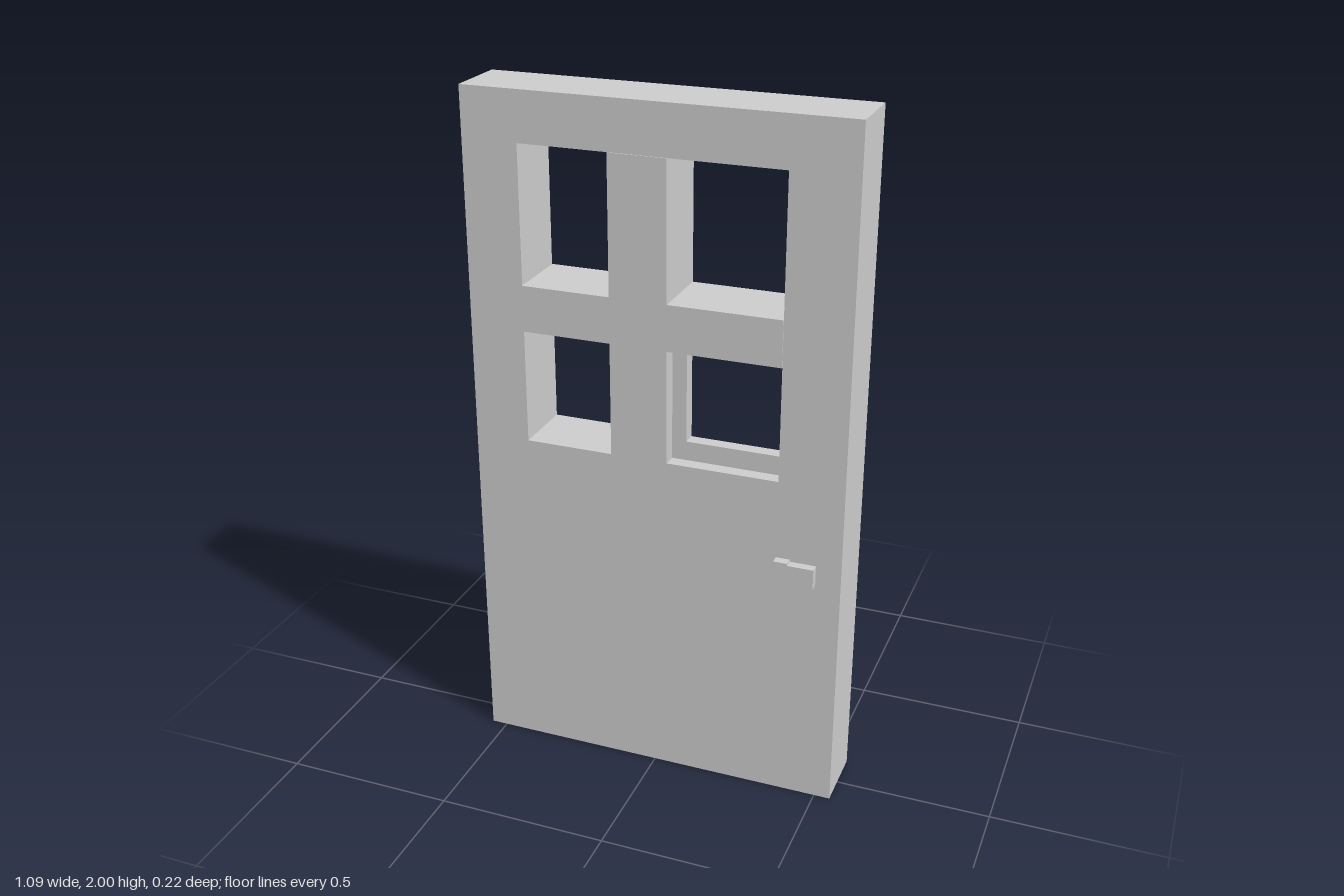
import * as THREE from 'three';

const material = new THREE.MeshStandardMaterial({ color: 0xcccccc, flatShading: true });

// Closed rectangle as points, grown outward by g
const rect = ([x0, x1, y0, y1], g = 0) => [
  [x0 - g, y0 - g], [x1 + g, y0 - g], [x1 + g, y1 + g], [x0 - g, y1 + g],
].map(([x, y]) => new THREE.Vector2(x, y));

// Flat slab with holes, running from z0 to z1
function slab(name, points, holes, z0, z1) {
  const shape = new THREE.Shape(points);
  shape.holes = holes.map((h) => new THREE.Path(h));
  const geometry = new THREE.ExtrudeGeometry(shape, { depth: z1 - z0, bevelEnabled: false });
  geometry.translate(0, 0, z0);
  const mesh = new THREE.Mesh(geometry, material);
  mesh.name = name;
  return mesh;
}

export function createModel() {
  const door = new THREE.Group();
  door.name = 'door';

  const outline = rect([-0.547, 0.547, 0, 2]);
  const back = -0.109, front = 0.085, skin = 0.04, proud = 0.003;
  const [xa, xb, xc, xd] = [-0.385, -0.128, 0.038, 0.36];
  const [ya, yb, yc, yd] = [1, 1.332, 1.465, 1.858];

  // Window openings; the last one has a groove cut round its reveal
  const windows = [[xa, xb, yc, yd], [xc, xd, yc, yd], [xa, xb, ya, yb], [xc, xd, ya, yb]];
  const openings = windows.map((w) => rect(w));
  const grooved = windows.map((w, i) => rect(w, i === 3 ? 0.08 : 0));

  // Door leaf in three layers
  door.add(slab('backPanel', outline, openings, back, back + skin));
  door.add(slab('core', outline, grooved, back + skin, front - skin));
  door.add(slab('frontPanel', outline, openings, front - skin, front));

  // Slightly proud glazing bars on both faces
  const cross = [
    [xb, ya], [xc, ya], [xc, yb], [xd, yb], [xd, yc], [xc, yc],
    [xc, yd], [xb, yd], [xb, yc], [xa, yc], [xa, yb], [xb, yb],
  ].map(([x, y]) => new THREE.Vector2(x, y));
  door.add(slab('frontGlazingBars', cross, [], front, front + proud));
  door.add(slab('backGlazingBars', cross, [], back - proud, back));

  // Handle block with a small step along its top
  const handle = [
    [0.36, 0.702], [0.475, 0.702], [0.475, 0.763], [0.4, 0.763], [0.4, 0.769], [0.36, 0.769],
  ].map(([x, y]) => new THREE.Vector2(x, y));
  door.add(slab('handle', handle, [], front, 0.111));

  return door;
}
